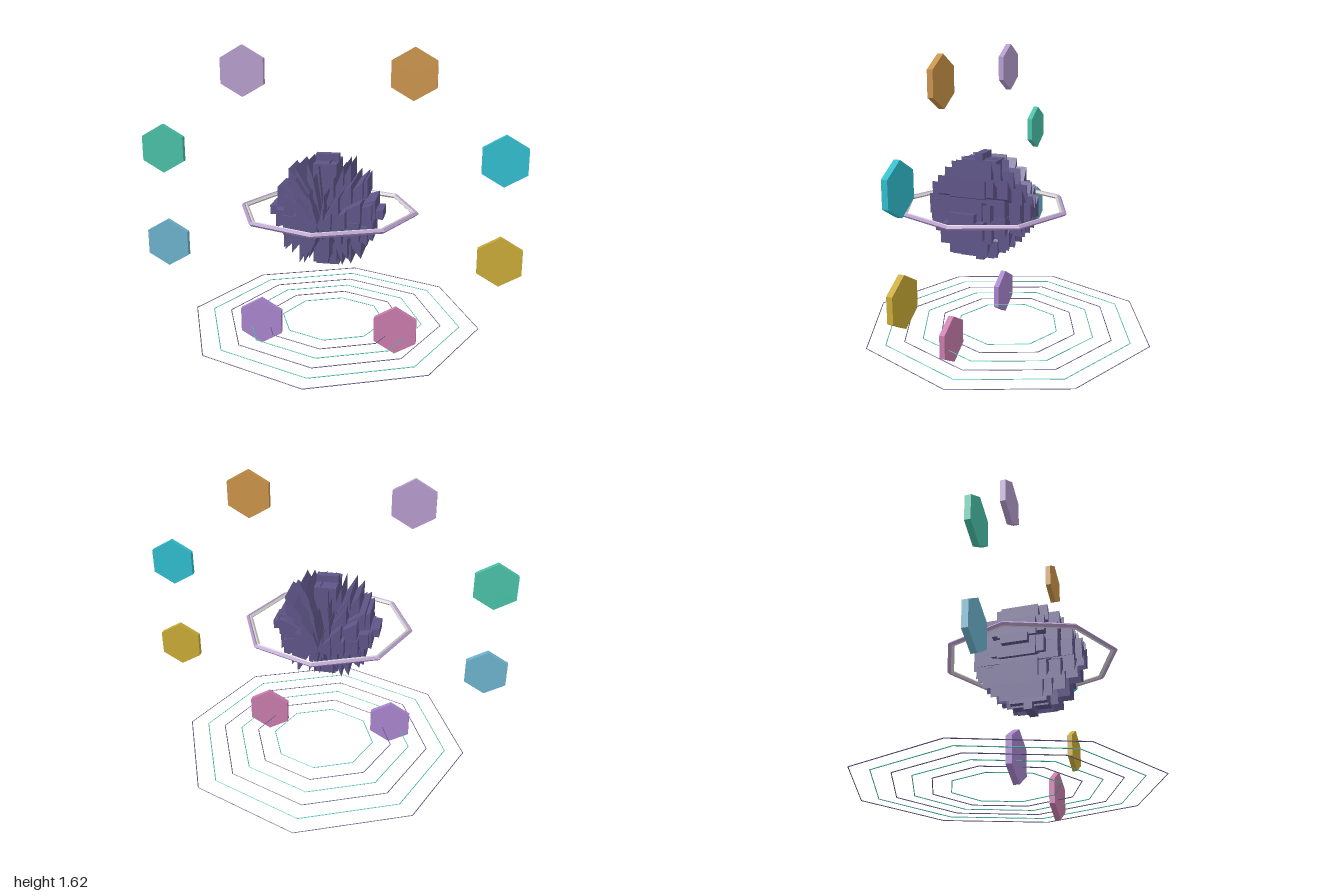
import * as THREE from 'three';

const mat = (name, color) => {
  const m = new THREE.MeshStandardMaterial({ color, flatShading: true });
  m.name = name;
  return m;
};

export function createModel() {
  const group = new THREE.Group();
  const M = {
    core: mat('dusk violet', 0x5e5587),
    silver: mat('warm silver', 0xd2d0cc),
    lavender: mat('lavender', 0xb59bcc),
    orange: mat('orange', 0xc99248),
    green: mat('sea green', 0x48c0a6),
    cyan: mat('cyan', 0x2fbccd),
    blue: mat('sky blue', 0x6cb2cc),
    gold: mat('gold', 0xc8a936),
    purple: mat('purple', 0xa784cc),
    pink: mat('pink', 0xc97bab),
  };
  const add = (parent, name, geo, material, x, y, z) => {
    const mesh = new THREE.Mesh(geo, material);
    mesh.name = name;
    mesh.position.set(x, y, z);
    parent.add(mesh);
    return mesh;
  };

  // Hexagonal tiles floating in a ring around the core
  const tileGeo = new THREE.CylinderGeometry(0.13, 0.13, 0.03, 6).rotateX(Math.PI / 2);
  const tiles = [
    ['lavender', -0.437, 1.49, 0.167], ['orange', 0.432, 1.49, 0.167],
    ['green', -0.887, 1.073, 0.157], ['cyan', 0.887, 1.073, 0.157],
    ['blue', -0.887, 0.55, 0.157], ['gold', 0.887, 0.55, 0.157],
    ['purple', -0.367, 0.135, 0.173], ['pink', 0.365, 0.135, 0.173],
  ];
  for (const [c, x, y, z] of tiles) add(group, c + 'Tile', tileGeo, M[c], x, y, z);

  // Crystal core: wedges fanned about the z axis, deeper where they are shorter
  const core = new THREE.Group();
  core.name = 'crystalCore';
  core.position.set(0, 0.78, 0.14);
  group.add(core);
  const wedge = (x, y, h, depth) => {
    const pts = [[0, 0], [x, y - h], [x, y + h]].map((p) => new THREE.Vector2(...p));
    const geo = new THREE.ExtrudeGeometry(new THREE.Shape(pts), { depth: depth * 2, bevelEnabled: false });
    add(core, 'coreWedge', geo, M.core, 0, 0, -depth);
  };
  const layers = [ // reach, half depth, half height of the end, count, phase
    [0.26, 0.10, 0.05, 14, 0.13],
    [0.245, 0.14, 0.045, 12, 0.62],
    [0.2, 0.2, 0.05, 12, 0.2],
    [0.13, 0.26, 0.045, 10, 0.1],
    [0.07, 0.295, 0.03, 8, 0.35],
  ];
  for (const [reach, depth, h, count, phase] of layers) {
    for (let i = 0; i < count; i++) {
      const a = phase + (i / count) * Math.PI * 2;
      const x = reach * Math.cos(a);
      // keep the steep wedges inside the round outline
      const y = Math.sign(Math.sin(a)) * Math.min(Math.abs(reach * Math.sin(a)), reach + 0.01 - h);
      wedge(x, y, h, depth);
    }
  }
  for (const s of [-1, 1]) wedge(s * 0.295, 0, 0.025, 0.07);
  add(core, 'coreColumn', new THREE.BoxGeometry(0.12, 0.52, 0.2), M.core, 0, 0, 0);
  add(core, 'coreTip', new THREE.BoxGeometry(0.12, 0.594, 0.045), M.core, 0, 0, 0);

  // Octagonal rings lying flat
  const ring = (name, r, tube, material, y, z) =>
    add(group, name, new THREE.TorusGeometry(r, tube, 4, 8).rotateX(Math.PI / 2), material, 0, y, z);
  ring('orbitRingOuter', 0.46, 0.012, M.lavender, 0.777, 0.137);
  ring('orbitRingInner', 0.445, 0.011, M.silver, 0.777, 0.137);
  for (let i = 0; i < 6; i++) {
    ring('floorRing', 0.804 - i * 0.103, 0.0025, i % 2 ? M.green : M.core, 0.1, 0);
  }
  return group;
}
